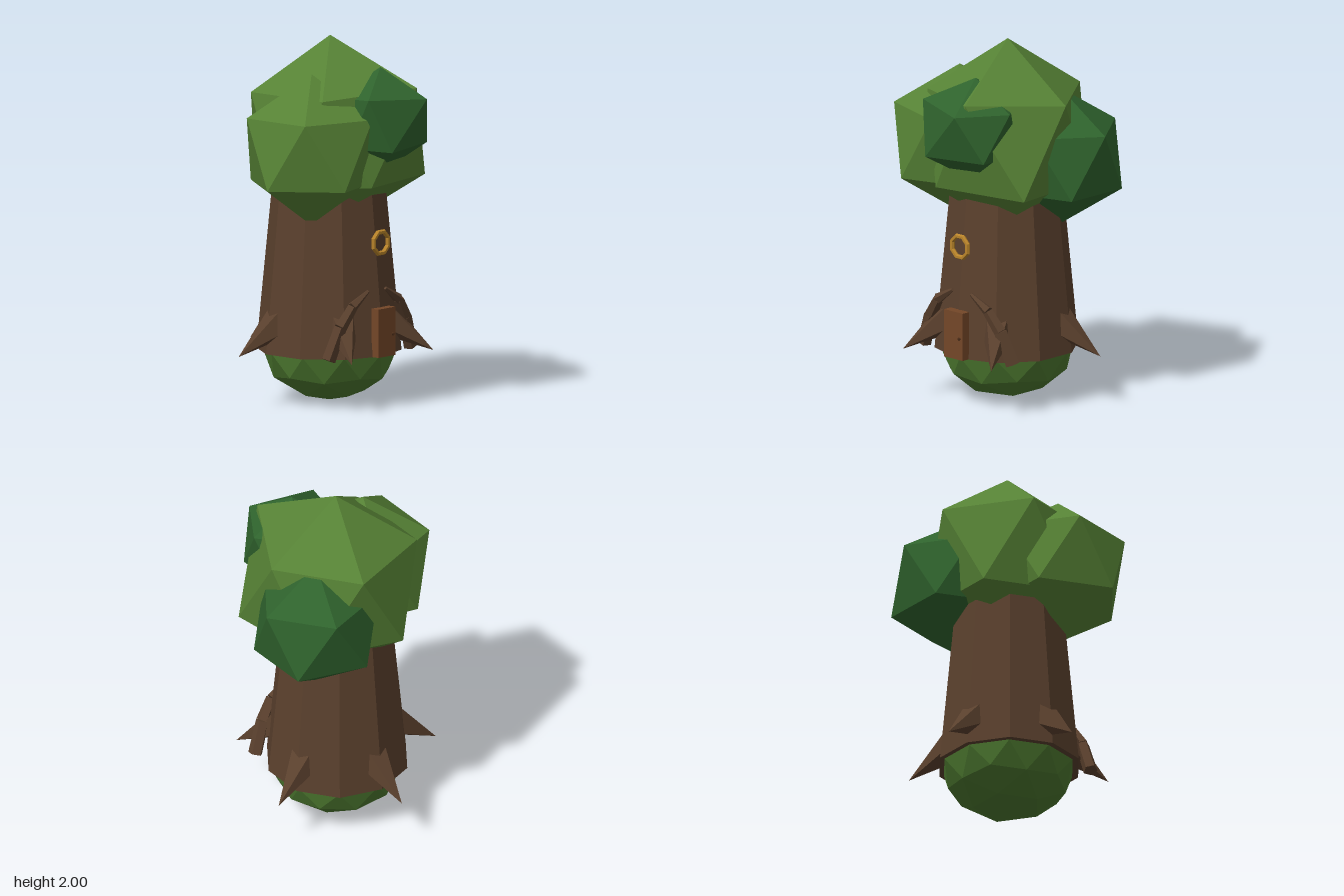
import * as THREE from 'three';

const mat = (name, color) => Object.assign(new THREE.MeshStandardMaterial({ color, flatShading: true }), { name });

// Twelve corners of an icosahedron standing on a point: top, upper ring, lower ring, bottom
const corners = [new THREE.Vector3(0, 1, 0)];
for (const [y, turn] of [[0.4472, 0], [-0.4472, Math.PI / 5]]) {
  for (let i = 0; i < 5; i++) {
    const a = turn + (i * Math.PI * 2) / 5;
    corners.push(new THREE.Vector3(0.8944 * Math.cos(a), y, 0.8944 * Math.sin(a)));
  }
}
corners.push(new THREE.Vector3(0, -1, 0));
const faces = [];
for (let i = 0; i < 5; i++) {
  const u = 1 + i, un = 1 + ((i + 1) % 5), l = 6 + i, ln = 6 + ((i + 1) % 5);
  faces.push(0, un, u, u, un, l, l, un, ln, l, ln, 11);
}

// Faceted ball; nudges moves chosen corners: { cornerIndex: [dx, dy, dz] }
function ball(radii, center, detail = 0, nudges = {}) {
  const flat = corners.flatMap((c) => c.toArray());
  const geo = new THREE.PolyhedronGeometry(flat, faces, 1, detail);
  const pos = geo.attributes.position;
  const p = new THREE.Vector3();
  for (let i = 0; i < pos.count; i++) {
    p.fromBufferAttribute(pos, i);
    const corner = corners.findIndex((c) => c.distanceTo(p) < 0.01);
    p.multiply(new THREE.Vector3(...radii)).add(new THREE.Vector3(...center));
    if (nudges[corner]) p.add(new THREE.Vector3(...nudges[corner]));
    pos.setXYZ(i, p.x, p.y, p.z);
  }
  geo.computeVertexNormals();
  return geo;
}

// Tapered rod between two points
function rod(a, b, ra, rb, sides) {
  const dir = b.clone().sub(a);
  const geo = new THREE.CylinderGeometry(rb, ra, dir.length(), sides);
  geo.applyQuaternion(new THREE.Quaternion().setFromUnitVectors(new THREE.Vector3(0, 1, 0), dir.normalize()));
  const mid = a.clone().add(b).multiplyScalar(0.5);
  return geo.translate(mid.x, mid.y, mid.z);
}

export function createModel() {
  const tree = new THREE.Group();
  tree.name = 'treeHouse';
  const bark = mat('bark', 0x5a402d);
  const lightLeaf = mat('lightLeaf', 0x568235);
  const darkLeaf = mat('darkLeaf', 0x2f632d);
  const moss = mat('moss', 0x4c782f);
  const doorWood = mat('doorWood', 0x744728);
  const knobBrown = mat('knobBrown', 0x4a2c18);
  const gold = mat('gold', 0xb9842a);

  const add = (name, geo, material, parent = tree) => {
    const mesh = new THREE.Mesh(geo, material);
    mesh.name = name;
    parent.add(mesh);
    return mesh;
  };

  // Mossy ground and trunk
  add('mossMound', ball([0.365, 0.28, 0.365], [0.005, 0.28, 0], 1), moss);
  add('trunk', new THREE.CylinderGeometry(0.305, 0.395, 0.94, 10).translate(0, 0.75, 0), bark);

  // Crown of four leaf clumps
  add('mainCrown', ball([0.492, 0.54, 0.492], [0.01, 1.46, 0], 0, {
    2: [0.02, 0.04, 0.07],
    6: [0.07, 0, 0.05],
  }), lightLeaf);
  add('leftCrown', ball([0.405, 0.415, 0.4], [-0.255, 1.412, 0.1]), lightLeaf);
  add('rightCrown', ball([0.38, 0.38, 0.37], [0.263, 1.36, -0.15]), darkLeaf);
  add('frontCrown', ball([0.29, 0.29, 0.29], [0.07, 1.56, 0.31], 0, {
    2: [0.01, 0, 0.01],
    3: [-0.05, 0.02, -0.01],
    7: [-0.08, -0.01, -0.02],
  }), darkLeaf);

  // Five pointed roots around the foot
  const roots = new THREE.Group();
  roots.name = 'roots';
  tree.add(roots);
  for (let i = 0; i < 5; i++) {
    const root = add('root', rod(new THREE.Vector3(0, 0.475, 0.27), new THREE.Vector3(0, 0.28, 0.568), 0.11, 0, 5), bark, roots);
    root.rotation.y = Math.PI + (i * Math.PI * 2) / 5;
  }

  // Bent branches arching over the door
  for (const side of [-1, 1]) {
    const arch = new THREE.Group();
    arch.name = side < 0 ? 'rightArch' : 'leftArch';
    tree.add(arch);
    const path = [[0.07, 0.64, 0.345], [0.19, 0.565, 0.335], [0.265, 0.46, 0.315], [0.335, 0.285, 0.29]]
      .map(([x, y, z]) => new THREE.Vector3(side * x, y, z));
    const radii = [0.01, 0.03, 0.037, 0.04];
    for (let i = 0; i < 3; i++) {
      add('archBranch', rod(path[i], path[i + 1], radii[i], radii[i + 1], 5), bark, arch);
    }
  }

  // Door, knob and round window frame
  add('door', new THREE.BoxGeometry(0.14, 0.265, 0.05).translate(0.005, 0.413, 0.39), doorWood);
  add('doorKnob', ball([0.01, 0.01, 0.01], [0.05, 0.4, 0.418]), knobBrown);
  add('windowFrame', new THREE.TorusGeometry(0.062, 0.014, 6, 8).rotateZ(Math.PI / 8).translate(0.008, 0.9, 0.367), gold);

  return tree;
}
